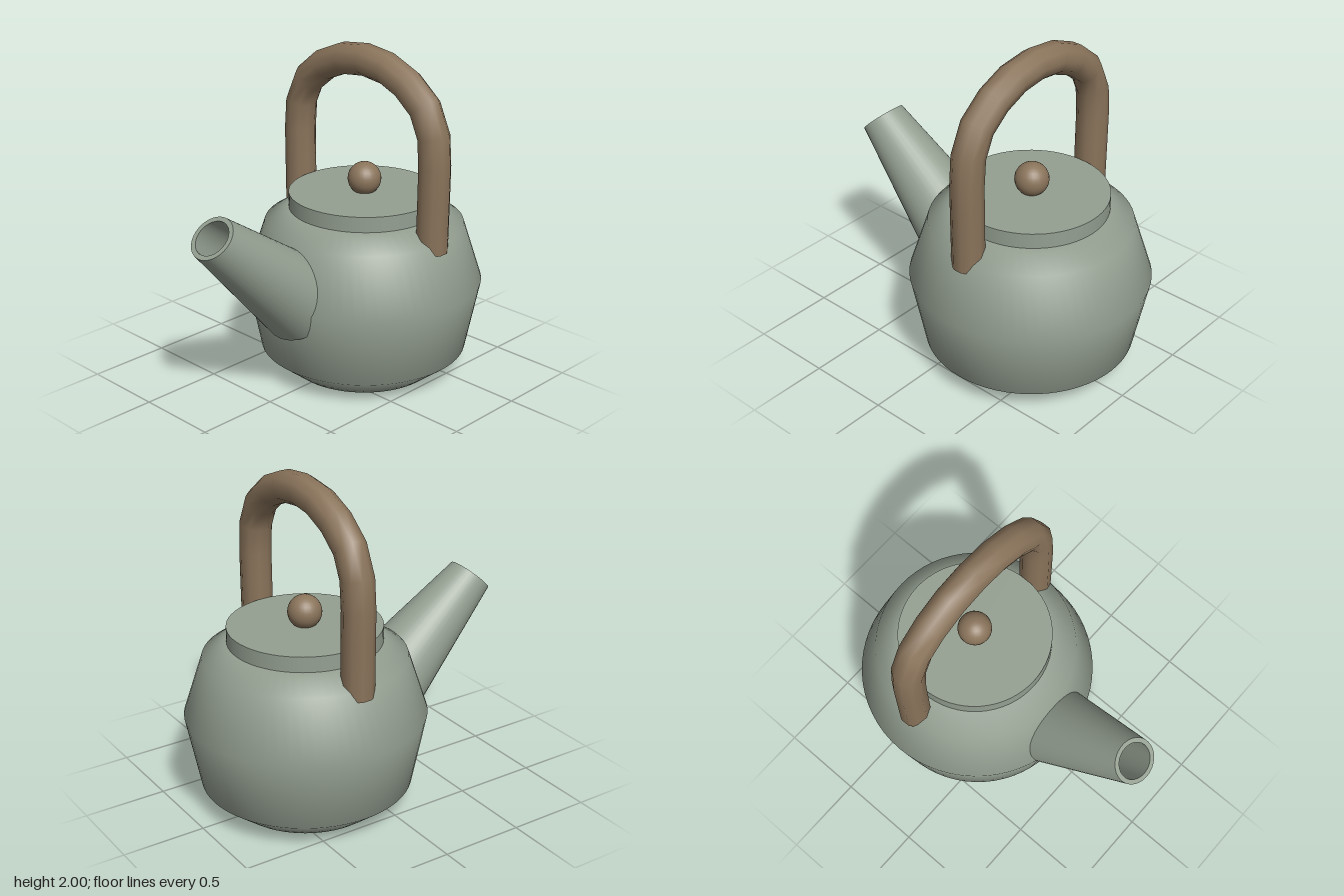
import * as THREE from 'three';
import { toCreasedNormals } from 'three/addons/utils/BufferGeometryUtils.js';

const CENTER_X = 0.29; // axis of the pot

export function createModel() {
  const glaze = new THREE.MeshStandardMaterial({ color: 0x949f91 });
  glaze.name = 'sageGlaze';
  const wood = new THREE.MeshStandardMaterial({ color: 0x8a745b });
  wood.name = 'brownWood';

  const group = new THREE.Group();
  group.name = 'teapot';
  const add = (name, geometry, material, x = 0, y = 0, z = 0, parent = group) => {
    const mesh = new THREE.Mesh(geometry, material);
    mesh.name = name;
    mesh.position.set(x, y, z);
    parent.add(mesh);
    return mesh;
  };
  const profile = (points) => points.map(([r, y]) => new THREE.Vector2(r, y));

  // Body: few-ringed, smoothly shaded pot
  const body = profile([[0, 0], [0.45, 0], [0.625, 0.14], [0.71, 0.575], [0.595, 0.93], [0.45, 1.02], [0, 1.02]]);
  add('body', new THREE.LatheGeometry(body, 64), glaze, CENTER_X);

  // Flat lid and its round knob
  add('lid', new THREE.CylinderGeometry(0.45, 0.45, 0.1, 64), glaze, CENTER_X, 1.063);
  add('lidKnob', new THREE.SphereGeometry(0.1, 24, 16), wood, CENTER_X, 1.19);

  // Spout: hollow tapered tube, sheared so both ends are parallel
  const base = new THREE.Vector3(-0.23, 0.565, 0);
  const tip = new THREE.Vector3(-0.9025, 1.1475, 0);
  const shear = new THREE.Matrix4()
    .makeBasis(new THREE.Vector3(0.725, 0.69, 0), tip.clone().sub(base), new THREE.Vector3(0, 0, 1))
    .setPosition(base);
  const spout = new THREE.LatheGeometry(profile([[0.26, 0], [0.135, 1], [0.107, 1], [0.22, 0]]), 40);
  add('spout', toCreasedNormals(spout.applyMatrix4(shear), 0.6), glaze);

  // Handle: ten-sided tube arching from front to back
  const half = [[0.535, 0.88], [0.538, 1.15], [0.54, 1.4], [0.533, 1.53], [0.5, 1.65], [0.435, 1.74], [0.33, 1.82], [0.165, 1.89]];
  const path = [
    ...half.map(([z, y]) => new THREE.Vector3(0, y, z)),
    new THREE.Vector3(0, 1.91, 0),
    ...half.map(([z, y]) => new THREE.Vector3(0, y, -z)).reverse(),
  ];
  const handle = new THREE.Group();
  handle.name = 'handle';
  handle.position.x = CENTER_X;
  group.add(handle);
  add('handleArch', new THREE.TubeGeometry(new THREE.CatmullRomCurve3(path), 16, 0.095, 10), wood, 0, 0, 0, handle);
  for (const side of [1, -1]) {
    const cap = add('handleEnd', new THREE.CircleGeometry(0.095, 10), wood, 0, 0.88, side * 0.535, handle);
    cap.rotation.x = Math.PI / 2;
  }
  return group;
}
